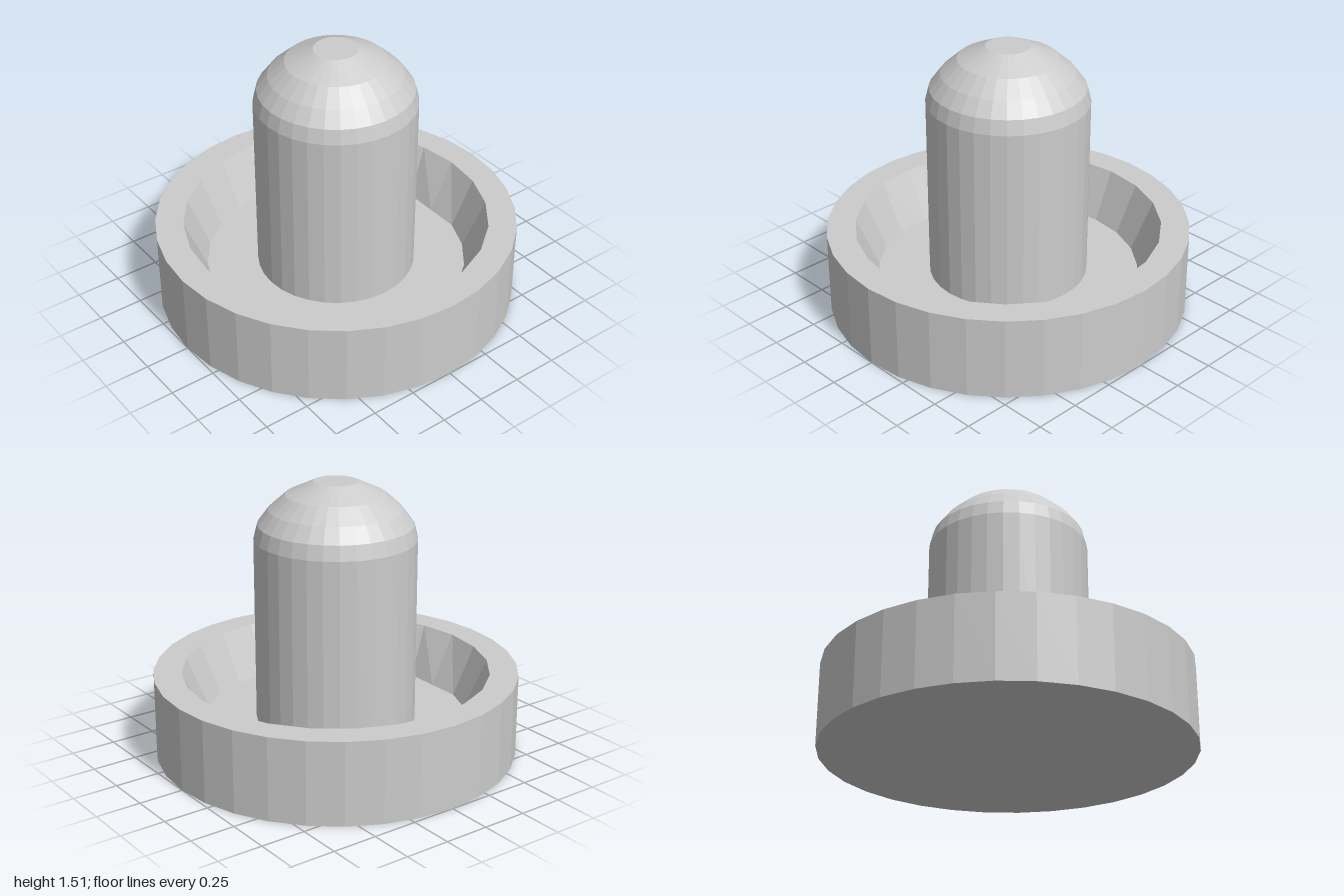
import * as THREE from 'three';

const RIM_Y = 0.46, FLOOR_Y = 0.18, BOWL_R = 0.845, FLOOR_R = 0.725;
const OUTER_SIDES = 32, BOWL_SIDES = 24;

const material = new THREE.MeshStandardMaterial({ color: 0xcccccc, flatShading: true });

function part(name, geometry) {
  const mesh = new THREE.Mesh(geometry, material);
  mesh.name = name;
  return mesh;
}

const lathe = (profile, sides) =>
  new THREE.LatheGeometry(profile.map(([r, y]) => new THREE.Vector2(r, y)), sides);

// Corners of a regular polygon
const ring = (radius, sides) => Array.from({ length: sides }, (_, i) => {
  const a = (i / sides) * Math.PI * 2;
  return new THREE.Vector2(radius * Math.cos(a), radius * Math.sin(a));
});

export function createModel() {
  const group = new THREE.Group();
  group.name = 'pinOnDishedBase';

  // Outer wall and underside of the base
  group.add(part('baseShell', lathe([[0, 0], [1, 0], [1, RIM_Y]], OUTER_SIDES)));

  // Flat annular rim
  const rimShape = new THREE.Shape(ring(1, OUTER_SIDES));
  rimShape.holes.push(new THREE.Path(ring(BOWL_R, BOWL_SIDES)));
  const rim = new THREE.ShapeGeometry(rimShape);
  rim.rotateX(-Math.PI / 2).translate(0, RIM_Y, 0);
  group.add(part('baseRim', rim));

  // Sloping recess and floor; the floor edge is flattened at both sides
  const bowl = lathe([[BOWL_R, RIM_Y], [FLOOR_R, FLOOR_Y], [0, FLOOR_Y]], BOWL_SIDES);
  const pos = bowl.attributes.position;
  const limit = FLOOR_R * Math.cos(Math.PI / 12);
  for (let i = 0; i < pos.count; i++) {
    if (pos.getY(i) < RIM_Y - 0.01) pos.setX(i, THREE.MathUtils.clamp(pos.getX(i), -limit, limit));
  }
  bowl.computeVertexNormals();
  group.add(part('recess', bowl));

  // Central pin with a faceted dome and a small flat top
  group.add(part('pin', lathe([
    [0.44, FLOOR_Y], [0.44, 1.2], [0.42, 1.28], [0.36, 1.36],
    [0.27, 1.44], [0.12, 1.51], [0, 1.51],
  ], OUTER_SIDES)));

  return group;
}
